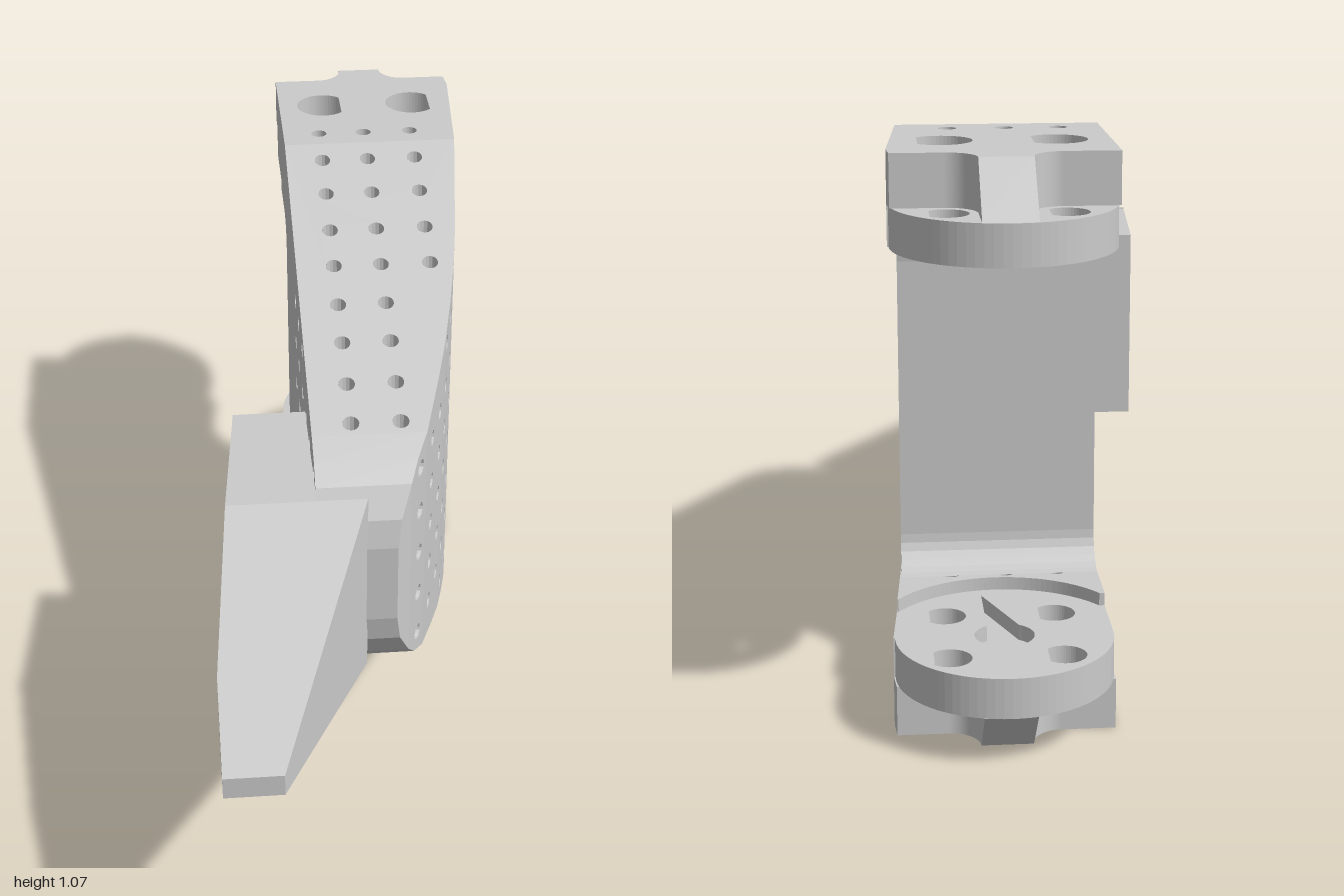
import * as THREE from 'three';

const H = 1.065, LEFT = -0.1, R = 0.017;
const solid = new THREE.MeshStandardMaterial({ color: 0xcccccc, flatShading: true });
const skin = new THREE.MeshStandardMaterial({ color: 0xcccccc, flatShading: true, side: THREE.DoubleSide });

// Upper edge of the side profile [z, y] and curved flank of the plan [z, x]
const TOP = [[0.437, 0.62], [0.425, 0.68], [0.39, 0.74], [0.355, 0.775], [0.3, 0.802], [-0.49, H]];
const FLANK = [[0.437, 0.06], [0.39, 0.09], [0.3, 0.13], [0.18, 0.165], [0.08, 0.192], [-0.03, 0.216],
  [-0.13, 0.235], [-0.23, 0.25], [-0.49, 0.28]];
const STATIONS = [0.437, 0.425, 0.39, 0.355, 0.3, 0.18, 0.08, -0.03, -0.13, -0.23, -0.49];

function sample(list, z) {
  for (let i = 1; i < list.length; i++) {
    const [z0, v0] = list[i - 1], [z1, v1] = list[i];
    if (z >= z1 || i === list.length - 1) return v0 + (v1 - v0) * (z0 - z) / (z0 - z1);
  }
}
const topY = z => sample(TOP, z);
const flankX = z => sample(FLANK, z);

// Grid positions of the small drilled holes
const sideHoles = [];
[0.335, 0.23, 0.13, 0.03, -0.08, -0.18].forEach((z, c) => {
  const n = c < 3 ? 2 : 3;
  for (let i = -n; i <= n; i++) sideHoles.push([z, H / 2 + i * 0.1035]);
});
const columns = [-0.02, 0.08, 0.185];
const topHoles = [];
[-0.44, -0.34, -0.235, -0.135, -0.03, 0.07, 0.175, 0.272].forEach((z, r) => {
  columns.slice(0, r < 4 ? 3 : 2).forEach(x => topHoles.push([x, z]));
});

const polygon = pts => new THREE.Shape(pts.map(p => new THREE.Vector2(p[0], p[1])));
const circle = (x, y, r) => new THREE.Path().absarc(x, y, r, 0, Math.PI * 2, false);
function teardrop(x, y, r) {
  const p = new THREE.Path();
  p.moveTo(x + r * Math.SQRT2, y);
  p.absarc(x, y, r, Math.PI / 4, Math.PI * 7 / 4, false);
  p.closePath();
  return p;
}

function add(group, name, geometry, material = solid) {
  const mesh = new THREE.Mesh(geometry, material);
  mesh.name = name;
  group.add(mesh);
  return mesh;
}

// Moves every vertex by a rule
function reshape(geometry, rule) {
  const p = geometry.attributes.position;
  for (let i = 0; i < p.count; i++) p.setXYZ(i, ...rule(p.getX(i), p.getY(i), p.getZ(i)));
  geometry.computeVertexNormals();
  return geometry;
}

// Extrudes a plan shape (x, z) between two heights
function slab(shape, y0, y1) {
  const g = new THREE.ExtrudeGeometry(shape, { depth: Math.abs(y1 - y0), bevelEnabled: false, curveSegments: 20 });
  return g.rotateX(Math.PI / 2).translate(0, Math.max(y0, y1), 0);
}

// Extrudes a side shape (-z, y) between two x positions
function across(shape, x0, x1) {
  const g = new THREE.ExtrudeGeometry(shape, { depth: x1 - x0, bevelEnabled: false, curveSegments: 12 });
  return g.rotateY(Math.PI / 2).translate(x0, 0, 0);
}

function buildBody() {
  const body = new THREE.Group();
  body.name = 'body';

  // Flanks, in planar strips pierced by the side holes
  for (let i = 1; i < STATIONS.length; i++) {
    const a = STATIONS[i - 1], b = STATIONS[i];
    const strip = polygon([[a, H - topY(a)], [a, topY(a)], [b, topY(b)], [b, H - topY(b)]]);
    sideHoles.filter(h => h[0] < a && h[0] > b).forEach(h => strip.holes.push(circle(h[0], h[1], R)));
    const flat = new THREE.ShapeGeometry(strip, 8);
    add(body, 'curvedFlank', reshape(flat.clone(), (z, y) => [flankX(z), y, z]), skin);
    add(body, 'flatFlank', reshape(flat, (z, y) => [LEFT, y, z]), skin);
  }

  // Upper and lower skins: rounded nose strips, then the long pierced slope
  const bands = [...STATIONS.slice(0, 4).map((z, i) => [z, STATIONS[i + 1]]), [0.3, -0.49]];
  for (const [a, b] of bands) {
    const edge = STATIONS.filter(z => z <= a && z >= b).map(z => [flankX(z), z]);
    const shape = polygon([[LEFT, b], [LEFT, a], ...edge]);
    if (b < 0) topHoles.forEach(h => shape.holes.push(circle(h[0], h[1], R)));
    const flat = new THREE.ShapeGeometry(shape, 8);
    add(body, 'upperSkin', reshape(flat.clone(), (x, z) => [x, topY(z), z]), skin);
    add(body, 'lowerSkin', reshape(flat, (x, z) => [x, H - topY(z), z]), skin);
  }

  // Nose and fork-throat walls
  add(body, 'noseFace', new THREE.PlaneGeometry(0.16, 0.175).translate(-0.02, H / 2, 0.437), skin);
  add(body, 'throatFace', new THREE.PlaneGeometry(0.38, H).translate(0.09, H / 2, -0.49), skin);

  // Bores trimmed to the skins they run between
  for (const [z, y] of sideHoles) {
    const bore = new THREE.CylinderGeometry(R, R, 1, 14, 1, true).rotateZ(Math.PI / 2).translate(0, y, z);
    add(body, 'sideBore', reshape(bore, (x, v, w) => [x > 0 ? flankX(w) : LEFT, v, w]), skin);
  }
  for (const [x, z] of topHoles) {
    const bore = new THREE.CylinderGeometry(R, R, 1, 14, 1, true).translate(x, 0, z);
    add(body, 'verticalBore', reshape(bore, (u, v, w) => [u, v > 0 ? topY(w) : H - topY(w), w]), skin);
  }
  return body;
}

function buildArm(name, mirror) {
  const arm = new THREE.Group();
  arm.name = name;
  const Y = y => mirror ? H - y : y;
  const layer = (part, shape, y0, y1) => add(arm, part, slab(shape, Y(y0), Y(y1)));
  const drill = shape => columns.forEach(x => shape.holes.push(circle(x, -0.545, R)));
  const start = () => new THREE.Shape().moveTo(LEFT, -0.49).lineTo(0.28, -0.49);
  const bolts = [[0, -0.9], [0.205, -0.9], [0, -0.7], [0.205, -0.7]];

  // Round-ended plate with teardrop bolt holes; the inner layer has a keyhole recess
  for (const [y0, y1, keyed] of [[0.895, 0.925, true], [0.925, 0.97, false]]) {
    const plate = start();
    plate.lineTo(0.303, -0.8).absarc(0.1, -0.8, 0.2, 0, Math.PI, true);
    bolts.forEach(([x, z]) => plate.holes.push(teardrop(x, z, 0.04)));
    drill(plate);
    if (keyed) {
      const key = new THREE.Path();
      key.moveTo(0.07, -0.6);
      key.absarc(0.1, -0.8, 0.055, Math.PI - 1, 1, false);
      key.lineTo(0.13, -0.6);
      plate.holes.push(key);
    }
    layer('armPlate', plate, y0, y1);
  }

  // Outer layer, cut away round the rear bolts and counterbored at the front ones
  const outer = start();
  outer.lineTo(0.303, -0.8).lineTo(0.299, -0.845).lineTo(0.205, -0.845);
  outer.absarc(0.205, -0.9, 0.055, Math.PI / 2, Math.PI, false);
  outer.absarc(0, -0.9, 0.055, 0, Math.PI / 2, false);
  outer.lineTo(LEFT, -0.845);
  bolts.slice(2).forEach(([x, z]) => outer.holes.push(teardrop(x, z, 0.058)));
  drill(outer);
  layer('armOuterLayer', outer, 0.97, H);

  // Sloped web between the rear bolts
  const web = polygon([[0.9, Y(0.97)], [0.9, Y(H)], [0.995, Y(0.97)]]);
  add(arm, 'rearWeb', across(web, 0.055, 0.15));

  // Raised inner pad ending in a round step
  const pad = start();
  pad.lineTo(0.292, -0.67).absarc(0.1, -0.8, 0.23, 0.6, Math.PI - 0.6, false);
  pad.lineTo(LEFT, -0.67);
  drill(pad);
  layer('innerPad', pad, 0.87, 0.895);

  // Fillet into the throat
  const fillet = [[0.49, Y(0.87)]];
  for (let i = 0; i <= 6; i++) {
    const t = i / 6 * Math.PI / 2;
    fillet.push([0.555 - 0.065 * Math.sin(t), Y(0.805 + 0.065 * Math.cos(t))]);
  }
  add(arm, 'throatFillet', across(polygon(fillet), LEFT, 0.28));
  return arm;
}

function buildSpike() {
  const spike = new THREE.Group();
  spike.name = 'spike';

  // Mounting plate with six holes, its outer face splayed
  const plate = polygon([[-0.1, 0.33], [-0.1, 0.735], [-0.43, 0.735], [-0.43, 0.33]]);
  for (const z of [0.19, 0.325])
    for (const dy of [-0.12, 0, 0.12]) plate.holes.push(circle(-z, H / 2 + dy, 0.043));
  add(spike, 'mountingPlate', reshape(across(plate, -0.25, LEFT),
    (x, y, z) => [x < -0.2 ? -0.25 - (z - 0.1) * 0.0857 : x, y, z]));

  // Tapering point
  const point = polygon([[-0.278, 0.43], [0, 0.43], [-0.2, 1], [-0.31, 1], [-0.31, 0.8]]);
  add(spike, 'point', reshape(slab(point, -1, 1),
    (x, y, z) => [x, H / 2 + y * (0.205 - 0.1825 * (z - 0.43) / 0.57), z]));
  return spike;
}

export function createModel() {
  const model = new THREE.Group();
  model.name = 'forkedSpikeMount';
  model.add(buildBody(), buildArm('upperArm', false), buildArm('lowerArm', true), buildSpike());
  return model;
}
